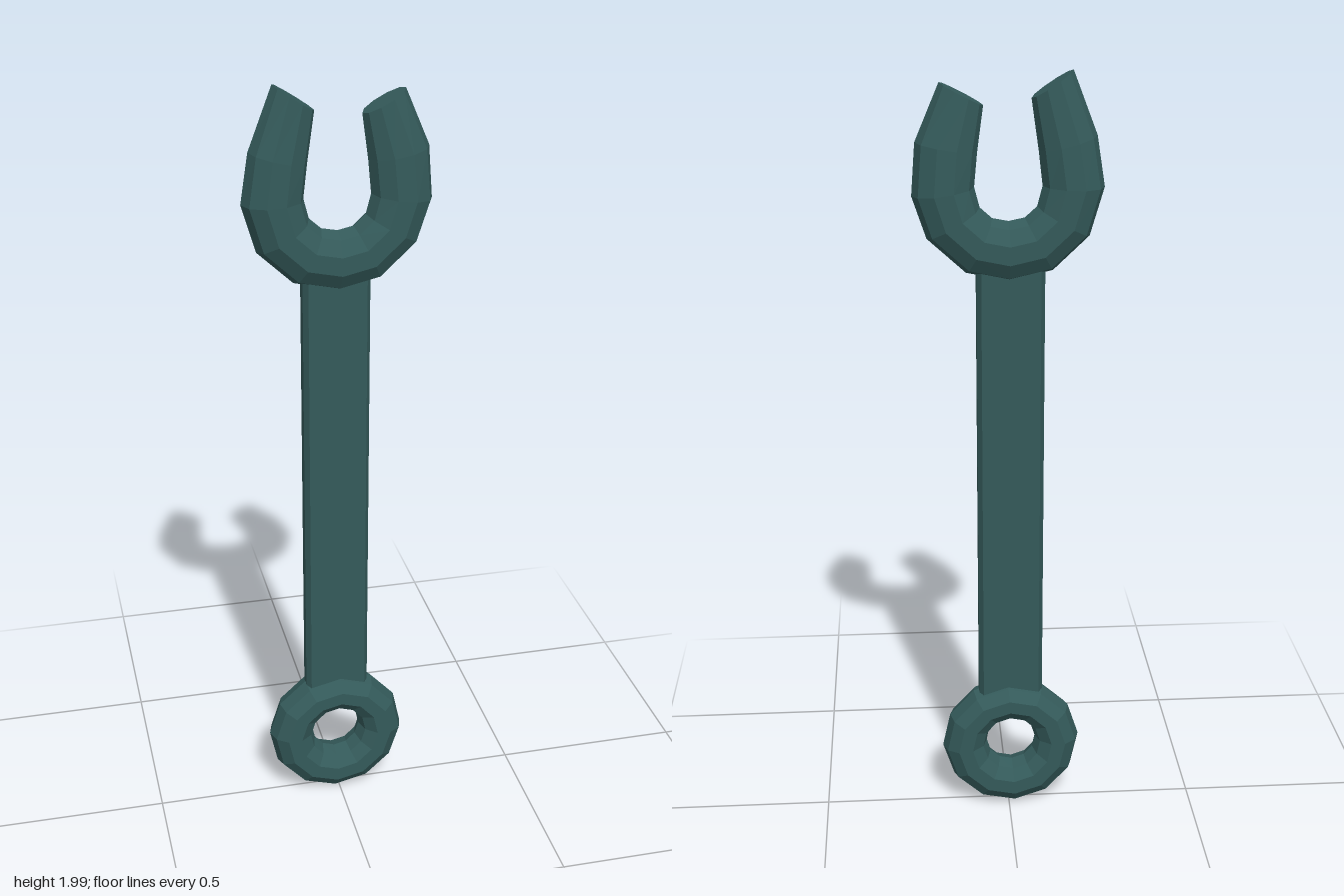
import * as THREE from 'three';

const SIDES = 10;
const steel = new THREE.MeshStandardMaterial({ color: 0x345a5a, flatShading: true });

// Sweeps a ten-sided elliptical section; each station is [outerX, outerY, innerX, innerY, halfDepth].
function sweep(stations, closed) {
  const pos = [], index = [], n = stations.length;
  for (const [ox, oy, ix, iy, d] of stations) {
    for (let j = 0; j < SIDES; j++) {
      const a = (j / SIDES) * Math.PI * 2, t = (1 + Math.cos(a)) / 2;
      pos.push(ix + (ox - ix) * t, iy + (oy - iy) * t, d * Math.sin(a));
    }
  }
  for (let i = 0; i < (closed ? n : n - 1); i++) {
    for (let j = 0; j < SIDES; j++) {
      const a = i * SIDES + j, b = i * SIDES + (j + 1) % SIDES;
      const c = ((i + 1) % n) * SIDES + j, e = ((i + 1) % n) * SIDES + (j + 1) % SIDES;
      index.push(a, c, b, b, c, e);
    }
  }
  // flat end caps
  if (!closed) {
    const last = (n - 1) * SIDES;
    for (let j = 1; j < SIDES - 1; j++) {
      index.push(0, j, j + 1, last, last + j + 1, last + j);
    }
  }
  const g = new THREE.BufferGeometry();
  g.setAttribute('position', new THREE.Float32BufferAttribute(pos, 3));
  g.setIndex(index);
  g.computeVertexNormals();
  return g;
}

function part(name, geometry) {
  const m = new THREE.Mesh(geometry, steel);
  m.name = name;
  return m;
}

export function createModel() {
  const group = new THREE.Group();
  group.name = 'wrench';

  // open jaw, from the right-hand tip round the bottom to the longer left-hand tip
  const jaw = [
    [-0.155, 2.0, -0.055, 1.935, 0.037],
    [-0.215, 1.845, -0.073, 1.81, 0.055],
    [-0.235, 1.72, -0.083, 1.725, 0.061],
    [-0.2, 1.6, -0.07, 1.675, 0.061],
    [-0.11, 1.515, -0.04, 1.648, 0.061],
    [0, 1.49, 0, 1.64, 0.061],
    [0.105, 1.513, 0.04, 1.648, 0.061],
    [0.2, 1.6, 0.07, 1.675, 0.061],
    [0.235, 1.705, 0.083, 1.725, 0.061],
    [0.225, 1.835, 0.075, 1.81, 0.055],
    [0.165, 1.975, 0.06, 1.92, 0.037],
  ];
  group.add(part('openJaw', sweep(jaw, false)));

  // closed ring end
  const ring = [];
  for (let i = 0; i < 12; i++) {
    const a = (i / 12) * Math.PI * 2 - 0.05, c = Math.cos(a), s = Math.sin(a);
    ring.push([-0.006 + 0.186 * c, 0.192 + 0.184 * s, -0.006 + 0.066 * c, 0.197 + 0.068 * s, 0.061]);
  }
  group.add(part('ringEnd', sweep(ring, true)));

  // flat handle with chamfered long edges, buried in both heads
  const w = 0.085, f = 0.074, d = 0.029, e = 0.013;
  const section = new THREE.Shape([
    [-f, -d], [f, -d], [w, -e], [w, e], [f, d], [-f, d], [-w, e], [-w, -e],
  ].map(([x, y]) => new THREE.Vector2(x, y)));
  const handle = part('handle', new THREE.ExtrudeGeometry(section, { depth: 1.25, bevelEnabled: false }));
  handle.rotation.x = -Math.PI / 2;
  handle.position.set(-0.005, 0.31, 0);
  group.add(handle);

  // slight twist about the long axis
  group.rotation.y = 0.02;
  return group;
}
